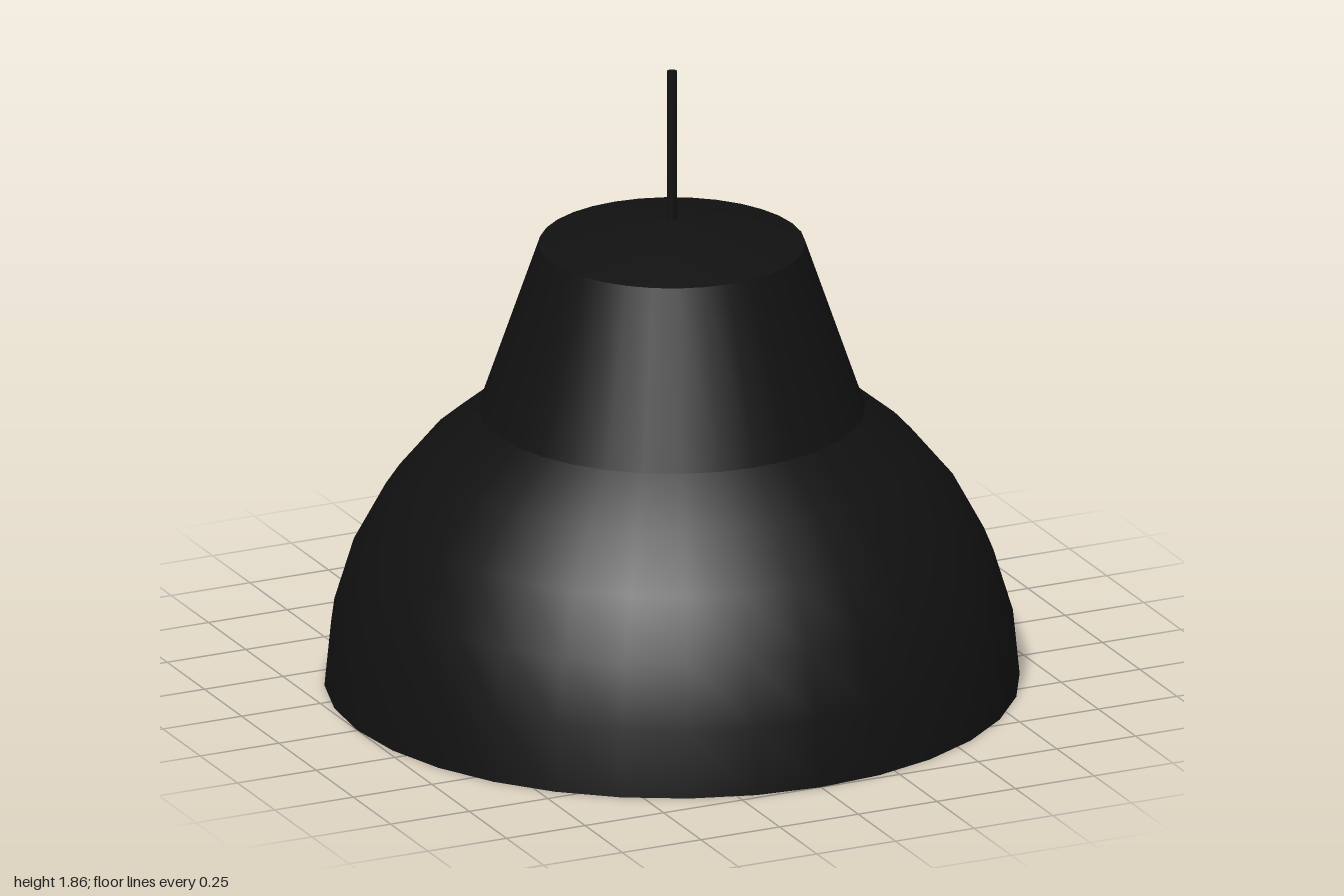
import * as THREE from 'three';

const SIDES = 32;

// Points on a quarter arc of the bell, from the rim up to the shoulder
function bellProfile(radius) {
  const points = [];
  for (let i = 0; i <= 5; i++) {
    const a = (i * Math.PI) / 16;
    points.push([radius * Math.cos(a), radius * Math.sin(a)]);
  }
  return points;
}

export function createModel() {
  const group = new THREE.Group();
  const black = new THREE.MeshStandardMaterial({ color: 0x111111 });
  const grey = new THREE.MeshStandardMaterial({ color: 0xcccccc });
  const facetedGrey = new THREE.MeshStandardMaterial({ color: 0xcccccc, flatShading: true });

  function add(name, geometry, material, y = 0) {
    const mesh = new THREE.Mesh(geometry, material);
    mesh.name = name;
    mesh.position.y = y;
    group.add(mesh);
  }

  // Upward profiles face outwards, downward profiles face inwards
  function lathe(name, profile, material, inward = false) {
    const points = profile.map(([r, y]) => new THREE.Vector2(r, y));
    if (inward) points.reverse();
    add(name, new THREE.LatheGeometry(points, SIDES), material);
  }

  // Outer shell: bell, tapered neck and shallow domed cap
  lathe('bell', bellProfile(1), black);
  lathe('neck', [[0.556, 0.831], [0.383, 1.335]], black);
  lathe('cap', [[0.383, 1.335], [0.195, 1.39], [0, 1.41]], black);

  // Pale lining just inside the shell
  lathe('bellLining', bellProfile(0.99), grey, true);
  lathe('neckLining', [[0.55, 0.823], [0.375, 1.328]], grey, true);
  lathe('capLining', [[0.375, 1.328], [0.19, 1.38], [0, 1.4]], grey, true);

  // Thin rim closing the shell and the lining
  lathe('rim', [[0.99, 0], [1, 0]], black);

  // Bulb, its socket and the hanging cord
  const bulb = new THREE.SphereGeometry(0.18, 8, 6);
  add('bulb', bulb, facetedGrey, 0.67);
  add('bulbNeck', new THREE.CylinderGeometry(0.09, 0.14, 0.16, 8), facetedGrey, 0.85);
  add('socket', new THREE.CylinderGeometry(0.1, 0.1, 0.45, 16), grey, 1.155);
  add('cord', new THREE.CylinderGeometry(0.016, 0.016, 0.5, 8), black, 1.61);

  return group;
}
